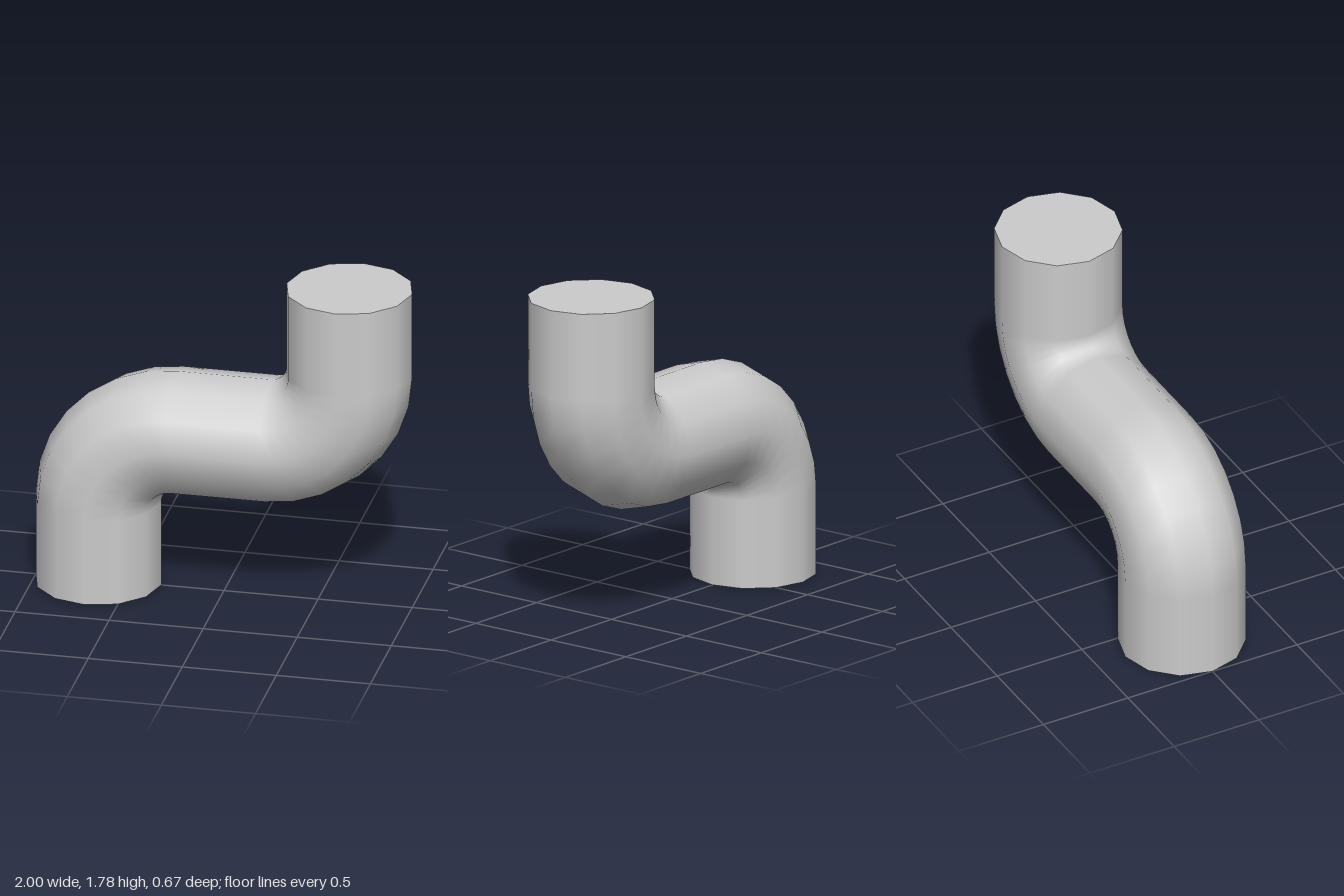
import * as THREE from 'three';

const SIDES = 12, RADIUS = 1 / 3, BEND = 5 / 12, STEPS = 7;
const HEIGHT = 16 / 9, OFFSET = 2 / 3;

// Centre line stations: position and lean of the direction from vertical
function stations() {
  const list = [{ x: -OFFSET, y: 0, a: 0 }];
  const bend = (cx, cy, sign, from, to) => {
    for (let i = 0; i <= STEPS; i++) {
      const a = THREE.MathUtils.lerp(from, to, i / STEPS);
      list.push({ x: cx - sign * BEND * Math.cos(a), y: cy + sign * BEND * Math.sin(a), a });
    }
  };
  const cx = OFFSET - BEND, mid = HEIGHT / 2;
  bend(-cx, mid - BEND, 1, 0, Math.PI / 2);
  bend(cx, mid + BEND, -1, Math.PI / 2, 0);
  list.push({ x: OFFSET, y: HEIGHT, a: 0 });
  return list;
}

// Pipe wall: one ring per station, with smooth radial normals
function wallGeometry() {
  const pos = [], nor = [], index = [], rings = stations(), row = SIDES + 1;
  rings.forEach(({ x, y, a }, i) => {
    for (let j = 0; j <= SIDES; j++) {
      const t = (j / SIDES) * Math.PI * 2;
      const n = [Math.cos(t) * Math.cos(a), -Math.cos(t) * Math.sin(a), Math.sin(t)];
      nor.push(...n);
      pos.push(x + RADIUS * n[0], y + RADIUS * n[1], RADIUS * n[2]);
      if (i < rings.length - 1 && j < SIDES) {
        const p = i * row + j, q = p + row;
        index.push(p, q, p + 1, q, q + 1, p + 1);
      }
    }
  });
  const g = new THREE.BufferGeometry();
  g.setAttribute('position', new THREE.Float32BufferAttribute(pos, 3));
  g.setAttribute('normal', new THREE.Float32BufferAttribute(nor, 3));
  g.setIndex(index);
  return g;
}

export function createModel() {
  const model = new THREE.Group();
  model.name = 'bentPipe';
  const material = new THREE.MeshStandardMaterial({ color: 0xcccccc });

  const wall = new THREE.Mesh(wallGeometry(), material);
  wall.name = 'pipeWall';
  model.add(wall);

  // Flat end caps
  for (const [name, x, y, turn] of [
    ['bottomCap', -OFFSET, 0, Math.PI / 2],
    ['topCap', OFFSET, HEIGHT, -Math.PI / 2],
  ]) {
    const cap = new THREE.Mesh(new THREE.CircleGeometry(RADIUS, SIDES), material);
    cap.name = name;
    cap.position.set(x, y, 0);
    cap.rotation.x = turn;
    model.add(cap);
  }
  return model;
}
